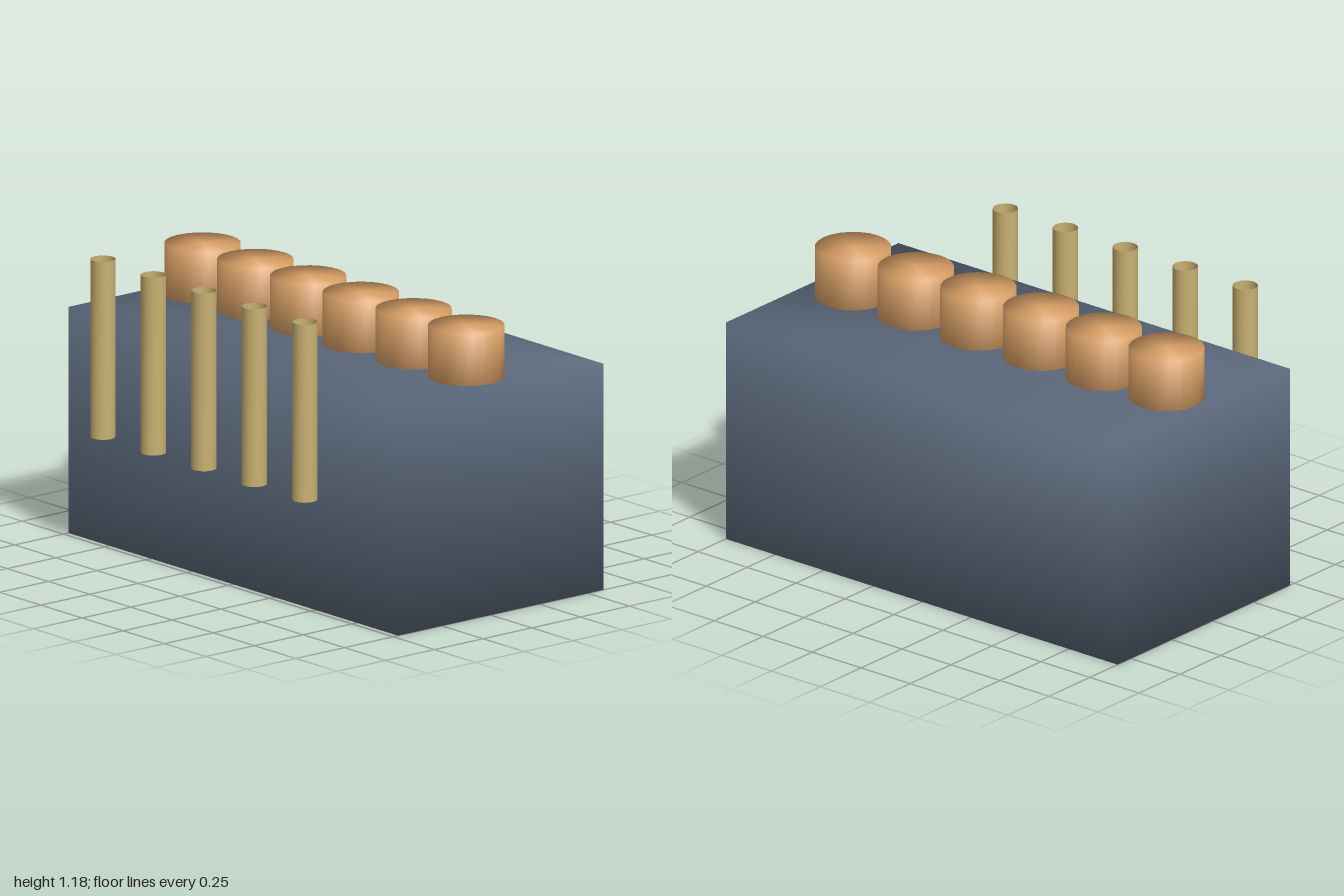
import * as THREE from 'three';
import { mergeVertices } from 'three/addons/utils/BufferGeometryUtils.js';

// Share vertices across edges so the shading is smooth all over
function smooth(geometry) {
  geometry.deleteAttribute('uv');
  geometry.deleteAttribute('normal');
  const merged = mergeVertices(geometry, 1e-4);
  merged.computeVertexNormals();
  return merged;
}

export function createModel() {
  const group = new THREE.Group();
  const material = (name, color, side = THREE.FrontSide) =>
    new THREE.MeshStandardMaterial({ name, color, side });
  const slate = material('slate', 0x5f6d80);
  const orange = material('orange', 0xdca368);
  const brass = material('brass', 0xc9b172, THREE.DoubleSide);

  const add = (name, geometry, mat, x, y, z) => {
    const mesh = new THREE.Mesh(geometry, mat);
    mesh.name = name;
    mesh.position.set(x, y, z);
    group.add(mesh);
  };

  // Main block
  add('block', smooth(new THREE.BoxGeometry(2, 0.918, 1.055)), slate, 0, 0.459, -0.053);

  // Row of six capped drums on top
  const drum = smooth(new THREE.CylinderGeometry(0.15, 0.15, 0.209, 24));
  for (let i = 0; i < 6; i++) {
    add(`drum${i + 1}`, drum, orange, -0.808 + i * 0.32, 1.0225, -0.052);
  }

  // Row of five open tubes standing just ahead of the front face
  const tube = smooth(new THREE.CylinderGeometry(0.05, 0.05, 0.722, 16, 1, true));
  for (let i = 0; i < 5; i++) {
    add(`tube${i + 1}`, tube, brass, -0.723 + i * 0.306, 0.82, 0.531);
  }
  return group;
}
